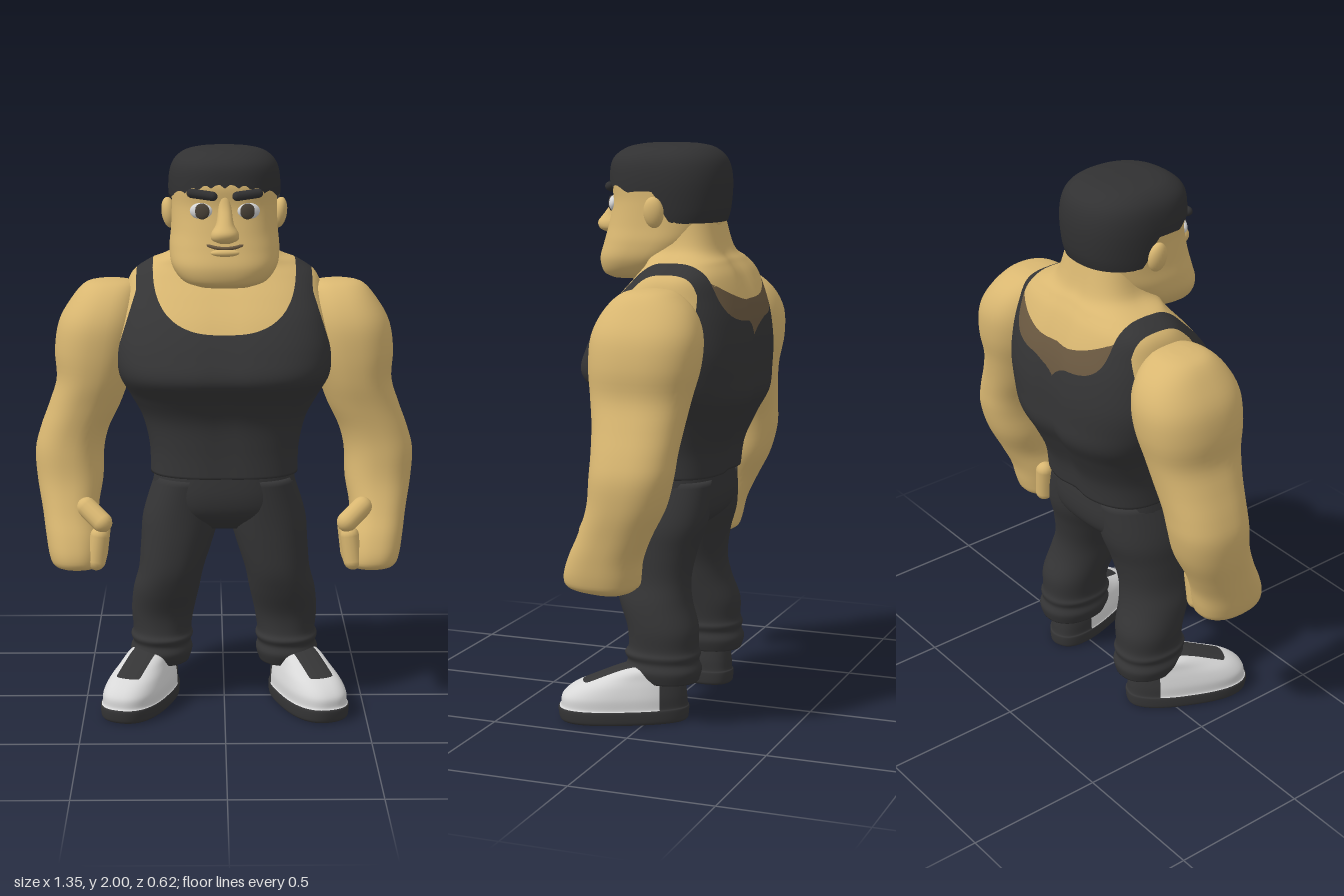
import * as THREE from 'three';

const mat = (name, color, side = THREE.FrontSide) => {
  const m = new THREE.MeshStandardMaterial({ color, side });
  m.name = name;
  return m;
};

// Smooth loft through rings [y, centreX, halfWidth, zFront, zBack]; e is the superellipse power
function loft(rings, { rows = 40, seg = 48, e = 2.2, side = 1, warp } = {}) {
  const r = [...rings].sort((a, b) => a[0] - b[0]), n = r.length - 1;
  const at = (t) => {
    const i = Math.min(n - 1, Math.floor(t)), u = t - i;
    return r[i].map((b, k) => {
      const a = r[Math.max(0, i - 1)][k], c = r[i + 1][k], d = r[Math.min(n, i + 2)][k];
      return b + 0.5 * u * (c - a + u * (2 * a - 5 * b + 4 * c - d + u * (3 * (b - c) + d - a)));
    });
  };
  const pow = (v) => Math.sign(v) * Math.abs(v) ** (2 / e);
  const pos = [], idx = [], v = new THREE.Vector3();
  const add = (x, y, z, useWarp) => {
    v.set(x, y, z);
    if (warp && useWarp) warp(v);
    pos.push(v.x, v.y, v.z);
  };
  for (let i = 0; i <= rows; i++) {
    const [y, cx, rx, zf, zb] = at((i / rows) * n);
    for (let j = 0; j < seg; j++) {
      const a = (j / seg) * Math.PI * 2;
      add(cx * side + rx * pow(Math.cos(a)), y, (zf + zb) / 2 + ((zf - zb) / 2) * pow(Math.sin(a)), true);
    }
  }
  for (const q of [r[0], r[n]]) add(q[1] * side, q[0], (q[3] + q[4]) / 2, false);
  const lo = (rows + 1) * seg, hi = lo + 1;
  for (let j = 0; j < seg; j++) {
    const k = (j + 1) % seg, top = rows * seg;
    for (let i = 0; i < rows; i++) {
      const a = i * seg + j, b = i * seg + k;
      idx.push(a, a + seg, b, b, a + seg, b + seg);
    }
    idx.push(lo, j, k, hi, top + k, top + j);
  }
  const g = new THREE.BufferGeometry();
  g.setAttribute('position', new THREE.Float32BufferAttribute(pos, 3));
  g.setIndex(idx);
  g.computeVertexNormals();
  return g;
}

// Cuts a surface along f(x, y, z) = 0 and returns [f > 0 part, rest]
function cut(geo, f) {
  const g = geo.index ? geo.toNonIndexed() : geo;
  const P = g.attributes.position, N = g.attributes.normal;
  const out = [{ p: [], n: [] }, { p: [], n: [] }];
  const vert = (i) => {
    const p = new THREE.Vector3().fromBufferAttribute(P, i);
    return { p, n: new THREE.Vector3().fromBufferAttribute(N, i), f: f(p.x, p.y, p.z) };
  };
  for (let i = 0; i < P.count; i += 3) {
    const tri = [vert(i), vert(i + 1), vert(i + 2)];
    [1, -1].forEach((s, k) => {
      const poly = [];
      tri.forEach((a, j) => {
        const b = tri[(j + 1) % 3], ain = a.f > 0 === s > 0, bin = b.f > 0 === s > 0;
        if (ain) poly.push(a);
        if (ain !== bin) {
          const t = a.f / (a.f - b.f);
          poly.push({ p: a.p.clone().lerp(b.p, t), n: a.n.clone().lerp(b.n, t).normalize() });
        }
      });
      for (let j = 1; j + 1 < poly.length; j++)
        for (const w of [poly[0], poly[j], poly[j + 1]]) { out[k].p.push(...w.p); out[k].n.push(...w.n); }
    });
  }
  return out.map((o) => {
    const h = new THREE.BufferGeometry();
    h.setAttribute('position', new THREE.Float32BufferAttribute(o.p, 3));
    h.setAttribute('normal', new THREE.Float32BufferAttribute(o.n, 3));
    return h;
  });
}

export function createModel() {
  const model = new THREE.Group();
  const skin = mat('skin', 0xd9b771), dark = mat('charcoal cloth', 0x353536, THREE.DoubleSide);
  const hairMat = mat('black hair', 0x313132, THREE.DoubleSide), shade = mat('brown', 0x6b5941);
  const white = mat('shoe white', 0xd8d8d8), iris = mat('iris', 0x4a4238);
  const put = (name, geo, m, parent = model) => {
    const o = new THREE.Mesh(geo, m);
    o.name = name;
    parent.add(o);
    return o;
  };
  const ball = (name, m, p, s, rz = 0) => {
    const o = put(name, new THREE.SphereGeometry(1, 24, 16), m);
    o.position.set(...p);
    o.scale.set(...s);
    o.rotation.z = rz;
    return o;
  };
  const capsule = (name, a, b, r) => {
    const A = new THREE.Vector3(...a), B = new THREE.Vector3(...b), d = B.clone().sub(A);
    const o = put(name, new THREE.CapsuleGeometry(r, d.length(), 6, 14), skin);
    o.position.copy(A).add(B).multiplyScalar(0.5);
    o.quaternion.setFromUnitVectors(new THREE.Vector3(0, 1, 0), d.normalize());
  };

  // Torso and neck, cut into vest, back patch and bare skin
  const torso = loft([
    [0.855, 0, 0.262, 0.2, -0.2], [0.95, 0, 0.265, 0.2, -0.215], [1.05, 0, 0.29, 0.21, -0.26],
    [1.13, 0, 0.332, 0.25, -0.3], [1.21, 0, 0.372, 0.31, -0.305], [1.3, 0, 0.385, 0.285, -0.305],
    [1.4, 0, 0.37, 0.23, -0.293], [1.48, 0, 0.35, 0.165, -0.27], [1.55, 0, 0.325, 0.1, -0.24],
    [1.595, 0, 0.265, 0.07, -0.21], [1.64, 0, 0.18, 0.08, -0.18], [1.76, 0, 0.15, 0.1, -0.15],
  ], {
    rows: 80, seg: 96, e: 2.7,
    // spine groove and chest line
    warp: (v) => { v.z *= 1 - (v.z < 0 ? 0.07 : 0.02) * Math.exp(-((v.x / 0.05) ** 2)); },
  });
  const scoop = (x, y, depth, p) =>
    1 - (Math.abs(x) / 0.25) ** p - (Math.max(0, 1.6 - y) / depth) ** p;
  const inVest = (x, y, z) => {
    const arm = 0.308 + Math.max(0, 1.5 - y) * 0.32 - Math.abs(x);
    const neck = z > -0.08 ? scoop(x, y, 0.23, 2.6) : scoop(x, y, 0.2 + 0.06 * Math.exp(-((x / 0.045) ** 2)), 4);
    return Math.min(arm * 4, -neck);
  };
  const [vest, bare] = cut(torso, inVest);
  const [patch, chest] = cut(bare, (x, y, z) => Math.min(-0.1 - z, 1.465 - y + 1.2 * x * x, 0.25 - Math.abs(x)));
  put('vest', vest, dark);
  put('backPatch', patch, shade);
  put('neckAndShoulders', chest, skin);

  // Trouser seat
  put('trouserSeat', loft([
    [0.88, 0, 0.245, 0.185, -0.18], [0.78, 0, 0.256, 0.188, -0.185],
    [0.71, 0, 0.25, 0.165, -0.165], [0.655, 0, 0.16, 0.1, -0.1],
  ], { rows: 16, e: 2.5 }), dark);

  for (const s of [1, -1]) {
    const tag = s > 0 ? 'left' : 'right';

    // Arm running into the closed hand
    put(tag + 'Arm', loft([
      [1.53, 0.4, 0.03, -0.02, -0.08], [1.515, 0.4, 0.09, 0.045, -0.14], [1.46, 0.415, 0.125, 0.1, -0.205],
      [1.38, 0.435, 0.15, 0.135, -0.24], [1.28, 0.45, 0.15, 0.14, -0.238], [1.18, 0.465, 0.13, 0.13, -0.215],
      [1.09, 0.495, 0.127, 0.112, -0.2], [1, 0.533, 0.122, 0.1, -0.19], [0.92, 0.552, 0.122, 0.1, -0.182],
      [0.82, 0.55, 0.117, 0.11, -0.155], [0.72, 0.548, 0.1, 0.145, -0.105], [0.64, 0.535, 0.1, 0.185, -0.07],
      [0.57, 0.528, 0.095, 0.208, -0.055], [0.53, 0.522, 0.085, 0.195, -0.04], [0.51, 0.515, 0.05, 0.12, 0],
    ], { rows: 60, side: s, e: 2.3 }), skin);

    // Curled fingers and thumb
    for (let i = 0; i < 4; i++) {
      const z = 0.165 - i * 0.055;
      capsule(tag + 'Finger', [s * 0.452, 0.555 - i * 0.004, z], [s * 0.44, 0.645, z - 0.005], 0.033);
    }
    capsule(tag + 'Thumb', [s * 0.485, 0.74, 0.125], [s * 0.43, 0.695, 0.165], 0.036);

    // Trouser leg with gathered cuff
    put(tag + 'TrouserLeg', loft([
      [0.84, 0.13, 0.115, 0.175, -0.17], [0.7, 0.152, 0.137, 0.168, -0.16], [0.6, 0.17, 0.128, 0.165, -0.13],
      [0.5, 0.19, 0.116, 0.158, -0.112], [0.42, 0.208, 0.118, 0.135, -0.12], [0.33, 0.222, 0.113, 0.1, -0.15],
      [0.26, 0.225, 0.105, 0.095, -0.152], [0.235, 0.226, 0.112, 0.108, -0.16], [0.21, 0.227, 0.104, 0.098, -0.155],
      [0.18, 0.228, 0.112, 0.106, -0.165], [0.14, 0.228, 0.1, 0.09, -0.155],
    ], { rows: 50, side: s }), dark);

    // Shoe: white upper, dark sole, heel and laces
    const shoe = new THREE.Group();
    shoe.name = tag + 'Shoe';
    shoe.position.set(s * 0.293, 0, 0.09);
    shoe.rotation.y = s * 0.38;
    model.add(shoe);
    const shape = loft([
      [0, 0, 0.1, 0.22, -0.215], [0.01, 0, 0.108, 0.23, -0.222], [0.045, 0, 0.11, 0.235, -0.225],
      [0.055, 0, 0.104, 0.226, -0.22], [0.09, 0, 0.103, 0.22, -0.217], [0.125, 0, 0.095, 0.18, -0.212],
      [0.155, 0, 0.085, 0.11, -0.205], [0.185, 0, 0.075, 0.03, -0.19], [0.2, 0, 0.05, -0.02, -0.16],
    ], { rows: 44, seg: 64, e: 2.5, warp: (v) => { v.x *= 0.95 + 0.5 * v.z; } });
    const [upper, trim] = cut(shape, (x, y, z) =>
      Math.min(y - 0.05, z + 0.12, Math.max(0.14 - y, Math.abs(x) - 0.045)));
    put('upper', upper, white, shoe);
    put('soleHeelAndLaces', trim, dark, shoe);

    // Ear, eye and eyebrow
    ball(tag + 'Ear', skin, [s * 0.192, 1.768, 0.02], [0.026, 0.054, 0.036], -s * 0.15);
    ball(tag + 'EyeWhite', white, [s * 0.08, 1.79, 0.211], [0.04, 0.028, 0.018]).rotation.y = s * 0.25;
    ball(tag + 'Iris', iris, [s * 0.077, 1.79, 0.223], [0.026, 0.027, 0.009]).rotation.y = s * 0.2;
    const brow = put(tag + 'Eyebrow', new THREE.CapsuleGeometry(0.016, 0.075, 5, 12).rotateZ(Math.PI / 2), hairMat);
    brow.position.set(s * 0.077, 1.846, 0.224);
    brow.rotation.set(0, s * 0.25, s * 0.12);
  }

  // Head with broad jaw
  put('head', loft([
    [1.53, 0, 0.09, 0.235, 0.08], [1.55, 0, 0.145, 0.262, 0.02], [1.6, 0, 0.182, 0.272, -0.06],
    [1.66, 0, 0.19, 0.256, -0.12], [1.72, 0, 0.185, 0.24, -0.15], [1.8, 0, 0.182, 0.224, -0.16],
    [1.88, 0, 0.18, 0.226, -0.165], [1.94, 0, 0.15, 0.18, -0.13], [1.97, 0, 0.08, 0.1, -0.06],
  ], { rows: 50, e: 2.5 }), skin);
  put('nose', loft([
    [1.685, 0, 0.02, 0.275, 0.2], [1.697, 0, 0.045, 0.295, 0.2], [1.72, 0, 0.046, 0.302, 0.2],
    [1.75, 0, 0.03, 0.28, 0.2], [1.8, 0, 0.023, 0.242, 0.19], [1.84, 0, 0.02, 0.225, 0.18],
  ], { rows: 20, seg: 24 }), skin);

  // Mouth and lower lip
  const smile = new THREE.CatmullRomCurve3([-0.078, -0.04, 0, 0.04, 0.078].map((x) =>
    new THREE.Vector3(x, 1.668 + 2.6 * x * x, 0.257 - 5 * x * x + 0.003)));
  put('mouth', new THREE.TubeGeometry(smile, 24, 0.006, 6), shade);
  ball('lowerLip', skin, [0, 1.652, 0.252], [0.05, 0.014, 0.018]);

  // Bowl-cut hair with scalloped fringe
  const cap = loft([
    [1.7, 0, 0.178, 0.23, -0.155], [1.77, 0, 0.188, 0.238, -0.178], [1.87, 0, 0.194, 0.24, -0.185],
    [1.94, 0, 0.182, 0.23, -0.17], [1.98, 0, 0.145, 0.185, -0.13], [1.996, 0, 0.09, 0.125, -0.075],
    [2, 0, 0.03, 0.06, -0.01],
  ], { rows: 60, seg: 96, e: 2.3 });
  const hem = (x, z) => {
    const fringe = 1.868 + 0.014 * Math.abs(Math.sin(x * 70)) - 1.1 * x * x;
    return 1.73 + (fringe - 1.73) * THREE.MathUtils.smoothstep(z, -0.04, 0.03);
  };
  put('hair', cut(cap, (x, y, z) => y - hem(x, z))[0], hairMat);

  return model;
}
